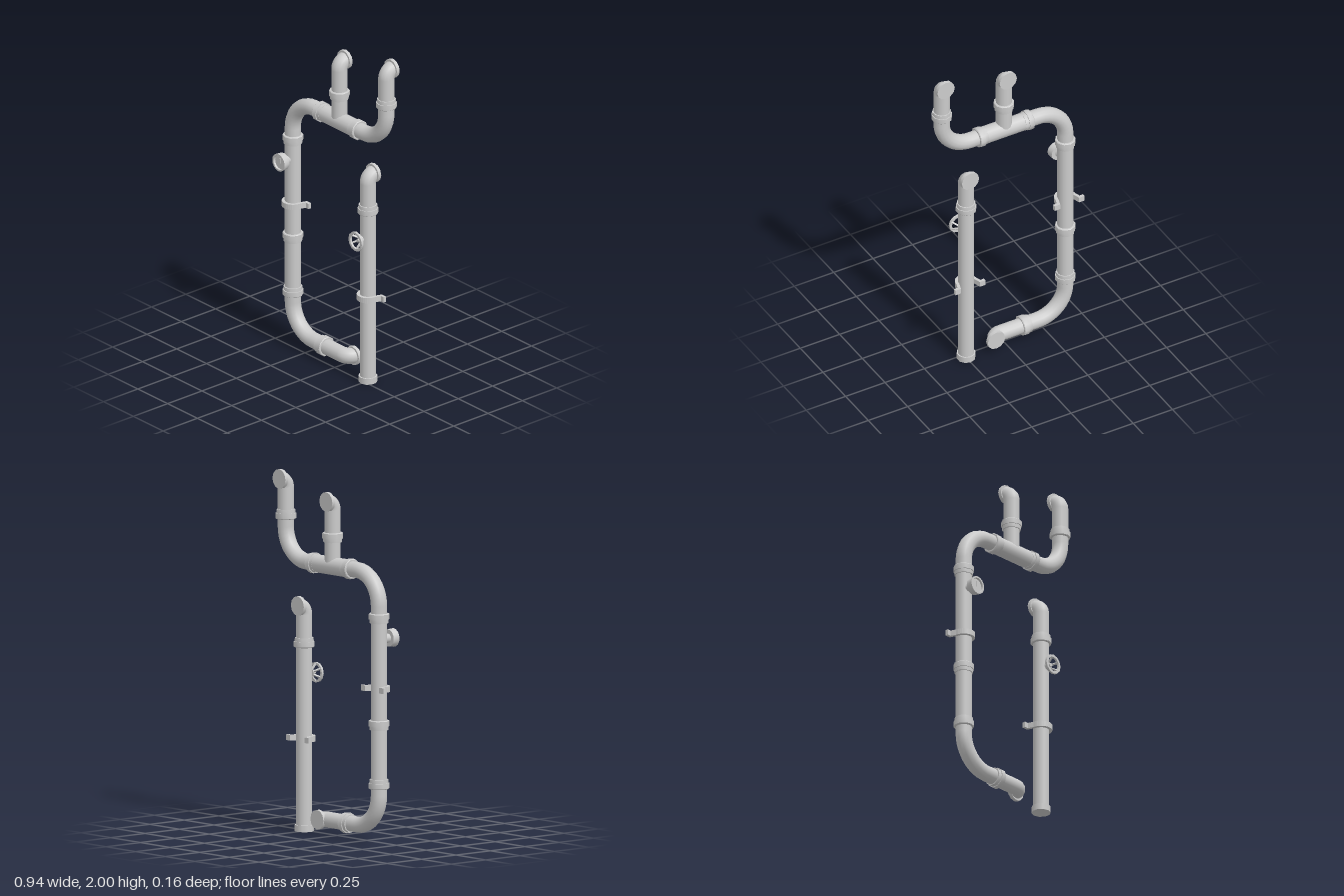
import * as THREE from 'three';
import { toCreasedNormals } from 'three/addons/utils/BufferGeometryUtils.js';

const R = 0.045;               // pipe radius
const WALL = -0.05;            // wall plane, measured from the pipe axis
const material = new THREE.MeshStandardMaterial({ color: 0xcccccc });
const V = (x, y, z = 0) => new THREE.Vector3(x, y, z);

function add(parent, name, geometry, x = 0, y = 0, z = 0) {
  const mesh = new THREE.Mesh(geometry, material);
  mesh.name = name;
  mesh.position.set(x, y, z);
  parent.add(mesh);
  return mesh;
}

// Path through corner points, each corner replaced by a quarter circle
class PipePath extends THREE.Curve {
  constructor(points, radii) {
    super();
    const last = points.length - 1;
    const dir = i => points[i + 1].clone().sub(points[i]).normalize();
    this.samples = [{ p: points[0], t: dir(0) }];
    for (let i = 1; i < last; i++) {
      const a = dir(i - 1), b = dir(i), r = radii[i - 1];
      const centre = points[i].clone().addScaledVector(a, -r).addScaledVector(b, r);
      for (let k = 0; k <= 10; k++) {
        const s = Math.sin(k * Math.PI / 20), c = Math.cos(k * Math.PI / 20);
        this.samples.push({
          p: centre.clone().addScaledVector(b, -r * c).addScaledVector(a, r * s),
          t: a.clone().multiplyScalar(c).addScaledVector(b, s),
        });
      }
    }
    this.samples.push({ p: points[last], t: dir(last - 1) });
  }
  at(u) { return this.samples[Math.round(u * (this.samples.length - 1))]; }
  getPoint(u) { return this.at(u).p.clone(); }
  getPointAt(u) { return this.at(u).p.clone(); }
  getTangentAt(u) { return this.at(u).t.clone(); }
}

function pipe(parent, name, points, radii) {
  const path = new PipePath(points, radii);
  add(parent, name, new THREE.TubeGeometry(path, path.samples.length - 1, R, 14, false));
}

// Disc where a pipe enters the wall
function wallFlange(parent, x, y) {
  const g = new THREE.CylinderGeometry(0.055, 0.055, 0.02, 12).rotateX(Math.PI / 2);
  add(parent, 'wallFlange', g, x, y, WALL + 0.01);
}

// Stepped coupling; the wide rim lies toward dir
function coupling(parent, x, y, dir) {
  const profile = [[R - 0.005, -0.027], [0.052, -0.027], [0.053, -0.006],
    [0.058, -0.006], [0.058, 0.023], [0.054, 0.027], [R - 0.005, 0.027]]
    .map(p => new THREE.Vector2(...p));
  const g = toCreasedNormals(new THREE.LatheGeometry(profile, 10), 0.7);
  const mesh = add(parent, 'coupling', g, x, y);
  mesh.quaternion.setFromUnitVectors(V(0, 1), dir);
}

// Strap around the front of a pipe with ears toward the wall
function clamp(parent, x, y) {
  const s = new THREE.Shape();
  s.moveTo(0.095, -0.05);
  s.lineTo(0.095, -0.032);
  s.lineTo(0.072, -0.032);
  s.lineTo(0.062, 0);
  s.absarc(0, 0, 0.062, 0, Math.PI, false);
  s.lineTo(-0.072, -0.032);
  s.lineTo(-0.095, -0.032);
  s.lineTo(-0.095, -0.05);
  s.lineTo(-0.06, -0.05);
  s.lineTo(-0.044, 0);
  s.absarc(0, 0, 0.044, Math.PI, 0, true);
  s.lineTo(0.06, -0.05);
  const g = new THREE.ExtrudeGeometry(s, { depth: 0.032, bevelEnabled: false, curveSegments: 8 });
  add(parent, 'clamp', g.rotateX(Math.PI / 2).translate(0, 0.016, 0), x, y);
}

function pressureGauge(x, y) {
  const gauge = new THREE.Group();
  gauge.name = 'pressureGauge';
  gauge.position.set(x, y, 0);
  add(gauge, 'gaugeStem', new THREE.CylinderGeometry(0.026, 0.026, 0.04, 10).rotateX(Math.PI / 2), 0, 0, 0.05);
  // Case with a raised rim and a sunken dial
  const profile = [[0, 0.066], [0.048, 0.066], [0.052, 0.105], [0.042, 0.105], [0.04, 0.094], [0, 0.094]]
    .map(p => new THREE.Vector2(...p));
  const body = toCreasedNormals(new THREE.LatheGeometry(profile, 16), 0.6).rotateX(Math.PI / 2);
  add(gauge, 'gaugeCase', body);
  add(gauge, 'gaugeNeedle', new THREE.BoxGeometry(0.006, 0.032, 0.004), 0, 0.009, 0.096);
  return gauge;
}

function valveWheel(x, y) {
  const wheel = new THREE.Group();
  wheel.name = 'valveWheel';
  wheel.position.set(x, y, 0);
  add(wheel, 'valveStem', new THREE.CylinderGeometry(0.011, 0.011, 0.04, 8).rotateX(Math.PI / 2), 0, 0, 0.055);
  add(wheel, 'valveHub', new THREE.CylinderGeometry(0.018, 0.024, 0.014, 10).rotateX(Math.PI / 2), 0, 0, 0.055);
  const rim = [[0.043, 0.08], [0.057, 0.08], [0.057, 0.093], [0.043, 0.093], [0.043, 0.08]]
    .map(p => new THREE.Vector2(...p));
  add(wheel, 'wheelRim', toCreasedNormals(new THREE.LatheGeometry(rim, 12), 0.6).rotateX(Math.PI / 2));
  for (let i = 0; i < 6; i++) {
    const a = i * Math.PI / 3 + Math.PI / 6;
    const from = V(0.016 * Math.cos(a), 0.016 * Math.sin(a), 0.053);
    const to = V(0.05 * Math.cos(a), 0.05 * Math.sin(a), 0.085);
    const spoke = add(wheel, 'wheelSpoke', new THREE.BoxGeometry(0.009, from.distanceTo(to), 0.009));
    spoke.position.copy(from).lerp(to, 0.5);
    spoke.quaternion.setFromUnitVectors(V(0, 1), to.sub(from).normalize());
  }
  return wheel;
}

export function createModel() {
  const model = new THREE.Group();
  model.name = 'wallPipes';
  const pipes = new THREE.Group();
  pipes.name = 'pipes';
  pipes.position.z = -0.025;
  model.add(pipes);

  const left = V(-1, 0), right = V(1, 0), up = V(0, 1), down = V(0, -1);

  // Long pipe from the lower wall outlet, up the side and over to the upper outlet
  pipe(pipes, 'mainPipe', [
    V(0.085, 0.085, WALL), V(0.085, 0.085), V(-0.38, 0.085), V(-0.38, 1.5),
    V(0.405, 1.5), V(0.405, 1.945), V(0.405, 1.945, WALL),
  ], [0.049, 0.18, 0.18, 0.18, 0.049]);

  // Tee and its branch
  add(pipes, 'teeBody', new THREE.CylinderGeometry(0.05, 0.05, 0.28, 14).rotateZ(Math.PI / 2), 0.01, 1.5);
  pipe(pipes, 'branchPipe', [V(0.01, 1.5), V(0.01, 1.86), V(0.01, 1.86, WALL)], [0.049]);

  // Separate standing pipe with its foot
  pipe(pipes, 'standingPipe', [V(0.25, 0.005), V(0.25, 1.255), V(0.25, 1.255, WALL)], [0.049]);
  add(pipes, 'pipeFoot', new THREE.CylinderGeometry(0.053, 0.053, 0.036, 10), 0.25, 0.018);

  for (const [x, y] of [[0.085, 0.085], [0.405, 1.945], [0.01, 1.86], [0.25, 1.255]]) wallFlange(pipes, x, y);

  for (const [x, y, dir] of [
    [-0.38, 1.252, up], [-0.38, 0.658, up], [-0.38, 0.33, down], [-0.12, 0.085, right],
    [-0.132, 1.5, left], [0.158, 1.5, right], [0.01, 1.66, up], [0.405, 1.747, down], [0.25, 1.05, down],
  ]) coupling(pipes, x, y, dir);

  clamp(pipes, -0.38, 0.86);
  clamp(pipes, 0.25, 0.516);
  pipes.add(pressureGauge(-0.38, 1.135), valveWheel(0.25, 0.875));
  return model;
}
